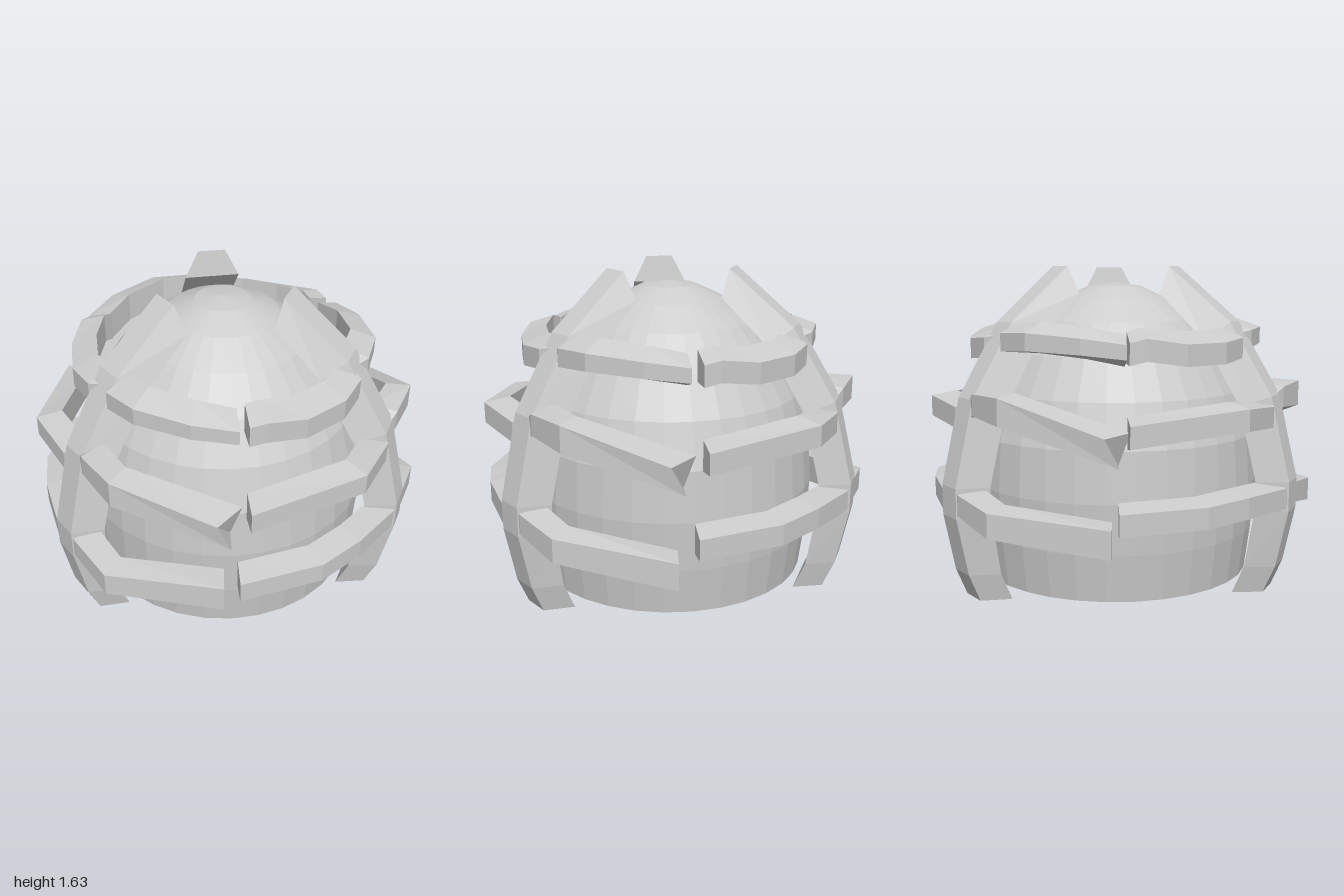
import * as THREE from 'three';

const grey = new THREE.MeshStandardMaterial({ color: 0xcccccc, flatShading: true });
grey.name = 'plain grey';

// Skin a row of four-cornered sections and close both ends
function loft(rings) {
  const index = [];
  for (let i = 0; i < rings.length - 1; i++) {
    for (let j = 0; j < 4; j++) {
      const k = (j + 1) % 4, a = i * 4, b = a + 4;
      index.push(a + j, a + k, b + k, a + j, b + k, b + j);
    }
  }
  const e = (rings.length - 1) * 4;
  index.push(0, 2, 1, 0, 3, 2, e, e + 1, e + 2, e, e + 2, e + 3);
  const geo = new THREE.BufferGeometry();
  geo.setAttribute('position', new THREE.Float32BufferAttribute(rings.flat(2), 3));
  geo.setIndex(index);
  geo.computeVertexNormals();
  return geo;
}

// Upright rib: [outer radius, outer y, inner radius, inner y]
const ribPath = [
  [0.87, 0, 0.73, 0], [0.93, 0.14, 0.79, 0.14], [0.99, 0.43, 0.84, 0.45],
  [0.99, 0.58, 0.84, 0.58], [0.89, 1.0, 0.75, 0.95], [0.67, 1.36, 0.56, 1.27],
  [0.34, 1.635, 0.32, 1.5],
];

function ribGeometry() {
  return loft(ribPath.map(([ro, yo, ri, yi]) => [
    [ri, yi, 0.14], [ro, yo, 0.07], [ro, yo, -0.07], [ri, yi, -0.14],
  ]));
}

// Curved bar around the dome, each point giving angle in degrees, outer radius,
// middle y, half height of the outer face, rise of the inner side and its lag in degrees
function barGeometry(path) {
  return loft(path.map(([deg, r, y, half = 0.052, rise = 0, lag = 0]) => {
    const corner = (angle, radius, height) => {
      const a = THREE.MathUtils.degToRad(angle);
      return [radius * Math.cos(a), height, radius * Math.sin(a)];
    };
    const inner = r - 0.13, middle = y + rise;
    return [
      corner(deg, inner, middle - 0.075), corner(deg, r, y - half),
      corner(deg + lag, r, y + half), corner(deg - lag, inner, middle + 0.075),
    ];
  }));
}

function createClaw(angle, lowTip) {
  const claw = new THREE.Group();
  claw.name = 'claw';
  const add = (name, geo) => {
    const mesh = new THREE.Mesh(geo, grey);
    mesh.name = name;
    claw.add(mesh);
  };
  add('rib', ribGeometry());
  add('lowerBar', barGeometry([
    [...lowTip, 0.068], [-20, 1.045, 0.46, 0.06], [-5, 0.99, 0.5], [0, 0.97, 0.5],
    [5, 0.985, 0.5], [23, 0.96, 0.505], [38, 0.965, 0.495], [63, 0.965, 0.485],
  ]));
  add('middleBar', barGeometry([
    [-55, 0.94, 0.805, 0.068, 0, 4], [-21, 0.98, 0.975, 0.065], [-6, 0.91, 0.98], [0, 0.87, 0.93],
    [5, 0.91, 0.9], [24, 0.965, 0.925], [60, 0.93, 0.875],
  ]));
  add('upperBar', barGeometry([
    [-58, 0.77, 1.24, 0.035], [-42, 0.77, 1.265, 0.038, 0.01], [-21, 0.77, 1.28, 0.042, 0.015],
    [-6, 0.74, 1.27, 0.045, 0.02], [0, 0.69, 1.25, 0.05, 0.02], [6, 0.745, 1.235, 0.05, 0.025],
    [20, 0.765, 1.22, 0.052, 0.03], [38, 0.765, 1.22, 0.052, 0.03],
    [53, 0.765, 1.25, 0.052, 0.02], [59, 0.755, 1.23, 0.052, 0.02],
  ]));
  claw.rotation.y = -THREE.MathUtils.degToRad(angle);
  return claw;
}

export function createModel() {
  const model = new THREE.Group();
  model.name = 'cagedDome';
  const body = new THREE.Group();
  body.name = 'body';
  body.position.set(0.01, 0, 0.04);
  model.add(body);

  // Egg-shaped core with a flat base
  const profile = [
    [0, 0.045], [0.715, 0.045], [0.745, 0.28], [0.76, 0.53], [0.745, 0.78], [0.68, 1.0],
    [0.57, 1.2], [0.43, 1.36], [0.28, 1.47], [0.14, 1.535], [0, 1.555],
  ].map(([x, y]) => new THREE.Vector2(x, y));
  const dome = new THREE.Mesh(new THREE.LatheGeometry(profile, 32), grey);
  dome.name = 'dome';
  body.add(dome);

  // Three claws around the core, each with its own lower bar tip
  const claws = [[180, [-53, 0.95, 0.43]], [59.5, [-53, 0.95, 0.35]], [-62, [-53, 0.98, 0.4]]];
  for (const [angle, lowTip] of claws) body.add(createClaw(angle, lowTip));
  return model;
}
